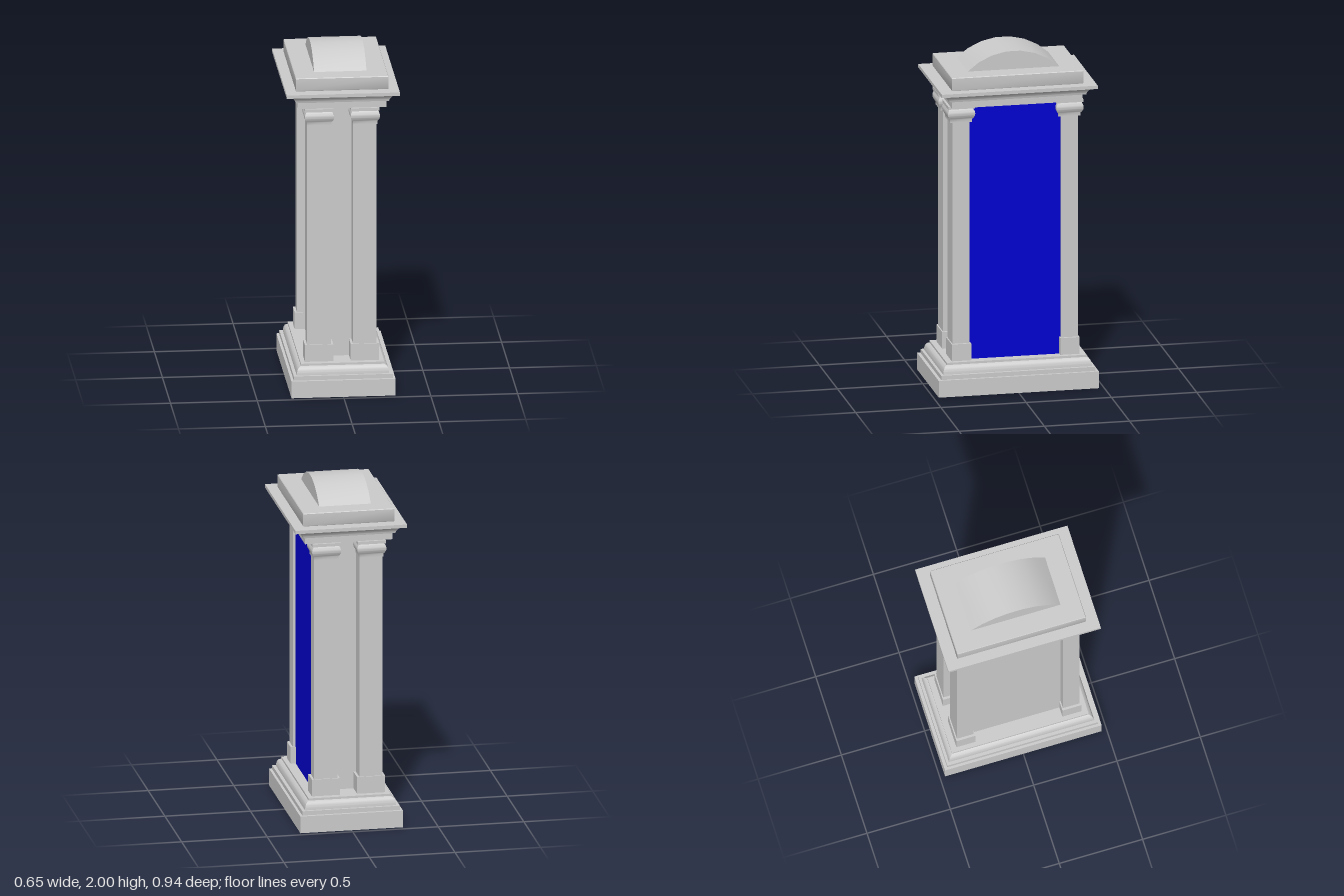
import * as THREE from 'three';
import { toCreasedNormals } from 'three/addons/utils/BufferGeometryUtils.js';

const grey = new THREE.MeshStandardMaterial({ color: 0xcccccc, side: THREE.DoubleSide });
const blue = new THREE.MeshStandardMaterial({ color: 0x0000d0, side: THREE.DoubleSide });

// Rectangular moulding: rings of [halfX, halfZ, y] from bottom to top, optionally capped.
function moulding(rings, capped = true) {
  const pos = [];
  const corners = ([hx, hz, y]) => [[hx, y, hz], [hx, y, -hz], [-hx, y, -hz], [-hx, y, hz]];
  const quad = (a, b, c, d) => pos.push(...a, ...b, ...c, ...a, ...c, ...d);
  for (let i = 0; i < rings.length - 1; i++) {
    const lo = corners(rings[i]), hi = corners(rings[i + 1]);
    for (let k = 0; k < 4; k++) {
      const n = (k + 1) % 4;
      quad(lo[k], lo[n], hi[n], hi[k]);
    }
  }
  if (capped) {
    quad(...corners(rings[rings.length - 1]));
    quad(...corners(rings[0]).reverse());
  }
  const g = new THREE.BufferGeometry();
  g.setAttribute('position', new THREE.Float32BufferAttribute(pos, 3));
  return toCreasedNormals(g, 0.6);
}

// Curved run of rings: bulge(t) gives the outward offset from the start size.
function curveRings(hx, hz, y0, y1, bulge, n = 8) {
  return Array.from({ length: n + 1 }, (_, i) => {
    const t = i / n, b = bulge(t);
    return [hx + b, hz + b, y0 + (y1 - y0) * t];
  });
}

function part(parent, name, geometry, material = grey) {
  const mesh = new THREE.Mesh(geometry, material);
  mesh.name = name;
  parent.add(mesh);
  return mesh;
}

function makeColumn() {
  const column = new THREE.Group();
  part(column, 'pedestal', moulding([[0.082, 0.057, 0.185], [0.082, 0.057, 0.287]]));
  part(column, 'shaft', moulding([[0.068, 0.05, 0.28], [0.068, 0.05, 1.62]]));
  part(column, 'capital', moulding([
    [0.071, 0.065, 1.607], [0.071, 0.065, 1.628],
    ...curveRings(0.068, 0.063, 1.628, 1.69, t => 0.017 * Math.sin(Math.PI * (0.1 + 0.8 * t)), 10),
    [0.082, 0.078, 1.69], [0.082, 0.078, 1.708],
  ]));
  return column;
}

export function createModel() {
  const model = new THREE.Group();
  model.name = 'pillarMonument';

  // Stepped plinth, hollow underneath and open below the body
  part(model, 'plinth', moulding([
    [0.3, 0.47, 0], [0.3, 0.47, 0.1], [0.285, 0.452, 0.1], [0.285, 0.452, 0.125],
    ...curveRings(0.266, 0.436, 0.125, 0.174, t => -0.026 * (1 - Math.sqrt(1 - t * t))),
    [0.24, 0.41, 0.174], [0.24, 0.41, 0.187], [0.155, 0.268, 0.187],
  ], false));

  // Hollow central body with a coloured panel on its left side
  part(model, 'body', moulding([[0.155, 0.268, 0.187], [0.155, 0.268, 1.71]], false));
  const panel = part(model, 'sidePanel', new THREE.PlaneGeometry(0.62, 1.64), blue);
  panel.rotation.y = Math.PI / 2;
  panel.position.set(0.184, 0.888, 0);

  // Four corner columns
  for (const sx of [-1, 1]) for (const sz of [-1, 1]) {
    const column = makeColumn();
    column.name = (sz > 0 ? 'front' : 'back') + (sx > 0 ? 'Left' : 'Right') + 'Column';
    column.position.set(sx * 0.132, 0, sz * 0.318);
    model.add(column);
  }

  // Frieze, sloping cornice and projecting slab
  part(model, 'cornice', moulding([
    [0.256, 0.383, 1.708], [0.256, 0.383, 1.75], [0.27, 0.402, 1.75],
    ...curveRings(0.27, 0.402, 1.755, 1.795, t => 0.03 * t - 0.004 * Math.sin(Math.PI * t)),
    [0.326, 0.457, 1.795], [0.326, 0.457, 1.815],
  ]));

  // Attic block with softened edges
  part(model, 'atticBlock', moulding([
    [0.264, 0.382, 1.813], [0.267, 0.386, 1.82], [0.267, 0.386, 1.889], [0.264, 0.383, 1.893],
  ]));

  // Curved crest: a segment of a circle running across the width
  const half = 0.271, rise = 0.111, radius = (half * half + rise * rise) / (2 * rise);
  const angle = Math.asin(half / radius);
  const outline = new THREE.Shape();
  outline.moveTo(-half, 1.885);
  for (let i = 0; i <= 7; i++) {
    const a = -angle + (2 * angle * i) / 7;
    outline.lineTo(radius * Math.sin(a), 2.002 - radius + radius * Math.cos(a));
  }
  outline.lineTo(half, 1.885);
  const crestGeometry = new THREE.ExtrudeGeometry(outline, { depth: 0.302, bevelEnabled: false });
  crestGeometry.translate(0, 0, -0.151).rotateY(Math.PI / 2);
  part(model, 'crest', toCreasedNormals(crestGeometry, 0.5));

  return model;
}
